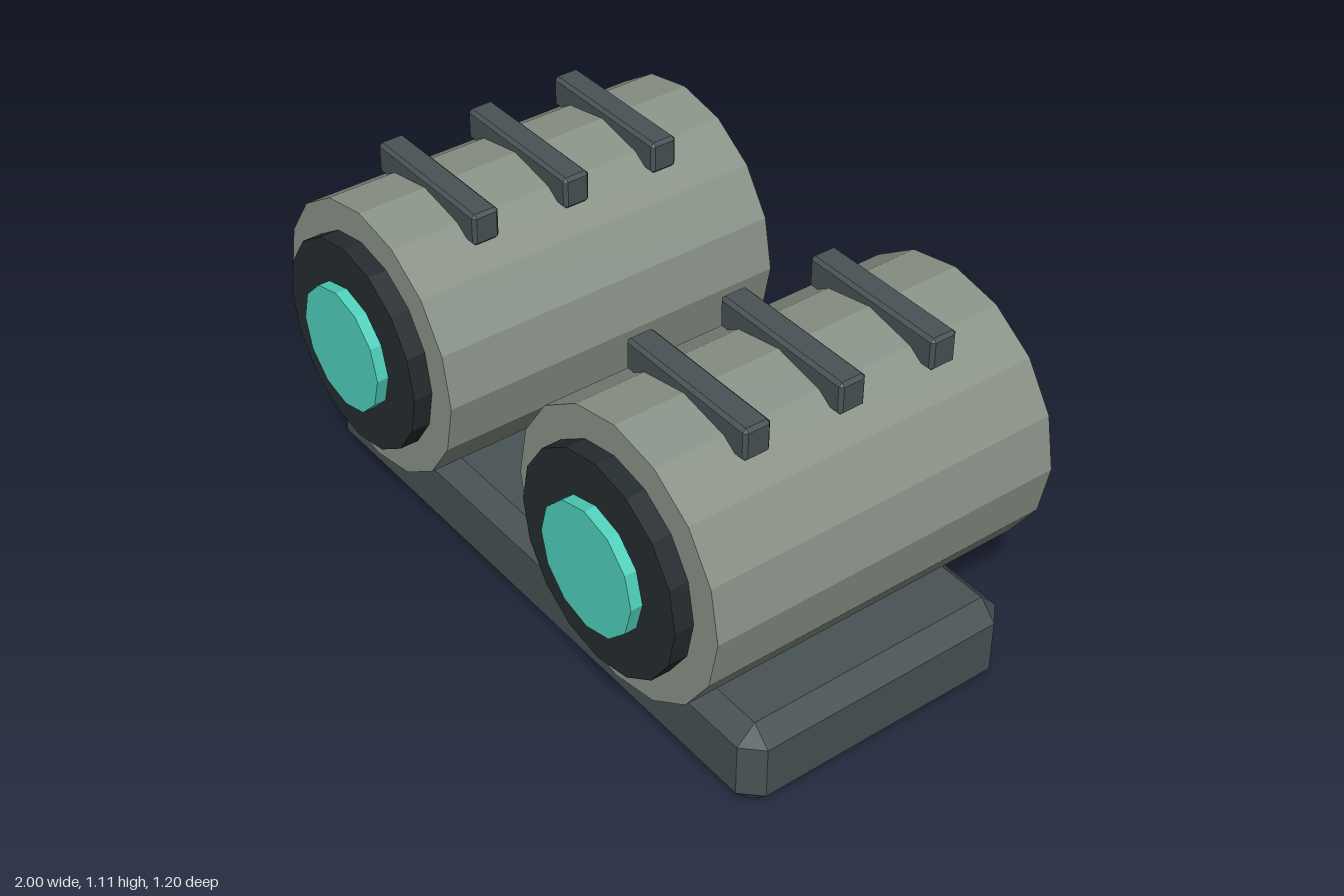
import * as THREE from 'three';
import { ConvexGeometry } from 'three/addons/geometries/ConvexGeometry.js';

const mat = (color) => new THREE.MeshStandardMaterial({ color, flatShading: true });

// Box with a flat chamfer of size c on every edge, centred on its origin
function chamferBox(w, h, d, c) {
  const points = [];
  for (const sx of [-1, 1]) for (const sy of [-1, 1]) for (const sz of [-1, 1]) {
    for (let axis = 0; axis < 3; axis++) {
      const inset = [c, c, c];
      inset[axis] = 0;
      points.push(new THREE.Vector3(
        sx * (w / 2 - inset[0]), sy * (h / 2 - inset[1]), sz * (d / 2 - inset[2])));
    }
  }
  return new ConvexGeometry(points);
}

// Faceted cylinder lying along z from z0 to z1, with a vertex at the top
function barrelGeometry(radius, sides, z0, z1) {
  const g = new THREE.CylinderGeometry(radius, radius, z1 - z0, sides);
  g.rotateX(Math.PI / 2);
  g.translate(0, 0, (z0 + z1) / 2);
  return g;
}

export function createModel() {
  const model = new THREE.Group();
  const shell = mat(0x8b9489);
  const slate = mat(0x495255);
  const dark = mat(0x252c2f);
  const glow = mat(0x50d1bd);

  const add = (parent, name, geometry, material, x = 0, y = 0, z = 0) => {
    const mesh = new THREE.Mesh(geometry, material);
    mesh.name = name;
    mesh.position.set(x, y, z);
    parent.add(mesh);
  };

  // Base plate
  add(model, 'basePlate', chamferBox(2, 0.277, 0.895, 0.056), slate, 0, 0.1385, -0.047);

  // Pods, one on each side
  const body = barrelGeometry(0.413, 16, -0.6, 0.508);
  const ring = barrelGeometry(0.319, 16, 0.5, 0.565);
  const lens = barrelGeometry(0.189, 12, 0.55, 0.6);
  const rib = chamferBox(0.476, 0.098, 0.084, 0.01);
  for (const side of [-1, 1]) {
    const pod = new THREE.Group();
    pod.name = side > 0 ? 'leftPod' : 'rightPod';
    pod.position.set(side * 0.575, 0.668, 0);
    add(pod, 'podBody', body, shell);
    add(pod, 'lensRing', ring, dark);
    add(pod, 'lens', lens, glow);
    // Ribs across the top
    for (let i = 0; i < 3; i++) add(pod, 'topRib', rib, slate, 0, 0.392, 0.255 - i * 0.3);
    model.add(pod);
  }
  return model;
}
